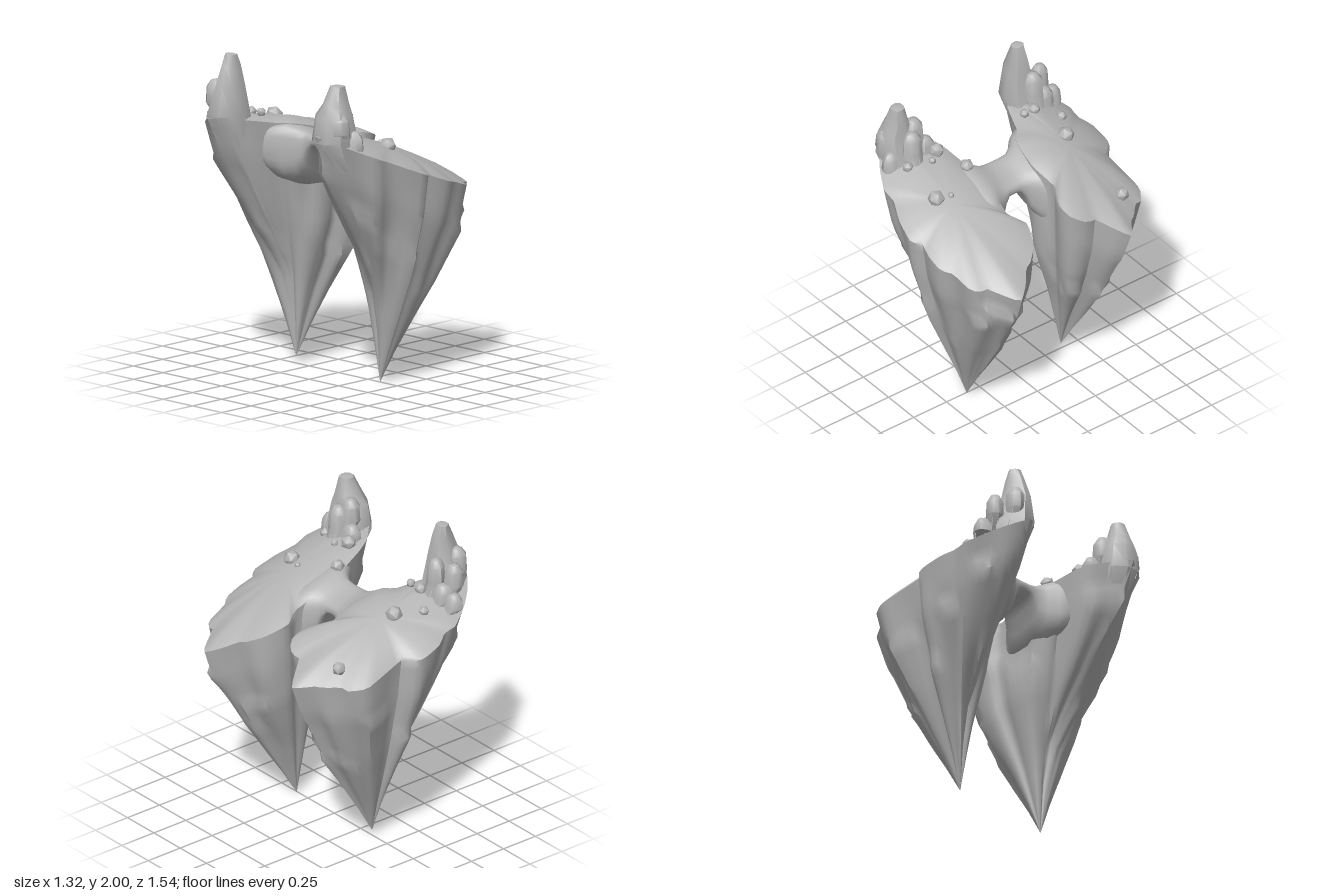
import * as THREE from 'three';
import { toCreasedNormals } from 'three/addons/utils/BufferGeometryUtils.js';

const stone = new THREE.MeshStandardMaterial({ color: 0xb4b4b4 });
stone.name = 'grey stone';

function seeded(seed) {
  let s = seed;
  return () => (s = (s * 16807) % 2147483647) / 2147483647;
}

// Skin between rings of equal length, listed from top to bottom
function loft(name, rings, crease) {
  const n = rings[0].length, pos = [], index = [];
  rings.forEach(r => r.forEach(p => pos.push(...p)));
  for (let j = 0; j < rings.length - 1; j++) {
    for (let i = 0; i < n; i++) {
      const a = j * n + i, b = j * n + (i + 1) % n, c = a + n, d = b + n;
      if (j > 0) index.push(a, b, c);
      if (j === 0 || j < rings.length - 2) index.push(b, d, c);
    }
  }
  const geo = new THREE.BufferGeometry();
  geo.setAttribute('position', new THREE.Float32BufferAttribute(pos, 3));
  geo.setIndex(index);
  const mesh = new THREE.Mesh(toCreasedNormals(geo, crease), stone);
  mesh.name = name;
  return mesh;
}

// Domed top of an island, sloping to its right end and outer side; r is 0 at the centre, 1 at the rim
const topY = (o, x, z, r) => o.height - o.slope * x
  - o.tilt * (Math.abs(z) - Math.abs(o.zc)) + o.dome * (1 - r ** 2.5);

// Taper of the body from rim (t = 0) to tip (t = 1), by the side it faces
const TAPER = {
  left: [[0, 1], [0.15, 0.86], [0.29, 0.66], [0.4, 0.49], [0.535, 0.26], [0.65, 0.11], [0.8, 0.04], [1, 0]],
  outer: [[0, 1], [0.19, 0.91], [0.36, 0.74], [0.5, 0.6], [0.7, 0.36], [0.85, 0.17], [1, 0]],
  inner: [[0, 1], [0.15, 0.98], [0.3, 0.95], [0.4, 0.91], [0.56, 0.66], [0.7, 0.41], [0.85, 0.2], [1, 0]],
};
function taper(side, t) {
  const p = TAPER[side], i = Math.max(1, p.findIndex(q => q[0] >= t));
  return THREE.MathUtils.mapLinear(t, p[i - 1][0], p[i][0], p[i - 1][1], p[i][1]);
}

// Island: domed top, then a ridged body narrowing to a point
function island(o) {
  const rand = seeded(o.seed), N = 72, LEVELS = 20;
  const curve = new THREE.CatmullRomCurve3(
    o.outline.map(([x, z]) => new THREE.Vector3(x, 0, z)), true, 'catmullrom', 0.2);
  const rim = curve.getSpacedPoints(N).slice(0, N);
  const rings = [0, 0.3, 0.6, 0.82, 0.94, 1].map(r => rim.map(p => {
    const x = p.x * r, z = o.zc + (p.z - o.zc) * r;
    return [x, topY(o, x, z, r), z];
  }));
  // broken slabs: abrupt upper ledge, fading out downwards
  const slabs = Array.from({ length: 14 }, (_, i) => ({
    u: Math.floor((i + rand() * 0.6) * N / 14), w: 3 + Math.floor(rand() * 4),
    t: 0.1 + rand() * 0.45, h: 0.25 + rand() * 0.25, amp: 0.05 + rand() * 0.05,
  }));
  for (let j = 1; j <= LEVELS; j++) {
    const t = j / LEVELS;
    rings.push(rim.map((p, i) => {
      const dx = p.x - o.tip[0], dz = p.z - o.tip[2], len = Math.hypot(dx, dz);
      const left = Math.max(0, -dx / len) ** 2;
      const inner = Math.max(0, -dz * Math.sign(o.zc) / len) * (1 - left);
      let k = left * taper('left', t) + inner * taper('inner', t) + (1 - left - inner) * taper('outer', t);
      let bump = 0.035 * Math.sin(i * 0.87 + 2 * t + o.seed) + 0.03 * Math.sin(i * 0.52 - 3 * t) - 0.015;
      bump *= Math.min(1, t * 4);
      for (const s of slabs) {
        const f = (t - s.t) / s.h;
        if ((i - s.u + N) % N < s.w && f >= 0 && f < 1) bump += s.amp * (1 - f);
      }
      k *= 1 + bump;
      const y0 = topY(o, p.x, p.z, 1);
      return [o.tip[0] + dx * k, y0 + (o.tip[1] - y0) * t, o.tip[2] + dz * k];
    }));
  }
  return loft('islandRock', rings, 0.85);
}

// Upright crag from stations [y, x, z, halfX, halfZ], top to bottom
function crag(name, stations, seed) {
  const rand = seeded(seed), N = 9;
  const jitter = Array.from({ length: N }, () => 0.9 + rand() * 0.2);
  const ring = ([y, x, z, rx, rz]) => jitter.map((q, i) => {
    const a = i / N * Math.PI * 2;
    return [x + rx * q * Math.cos(a), y, z + rz * q * Math.sin(a)];
  });
  const [y, x, z] = stations[0];
  return loft(name, [[y + 0.01, x, z, 0, 0], ...stations].map(ring), 0.8);
}

// Small lump: a blunt crag whose foot bends inward into the rock
const lump = (x, z, y0, y1, r, seed) => crag('sideCrag', [
  [y1, x, z, r * 0.5, r * 0.5], [y1 - 0.04, x, z, r * 0.9, r * 0.9],
  [y0 + (y1 - y0) * 0.6, x, z, r, r],
  [y0, x + 0.1, (z + Math.sign(z) * 0.45) / 2, r * 0.4, r * 0.4]], seed);

function pebbles(o, list) {
  const group = new THREE.Group();
  group.name = 'pebbles';
  for (const [x, z, r] of list) {
    const m = new THREE.Mesh(toCreasedNormals(new THREE.IcosahedronGeometry(r, 0), 0.75), stone);
    m.name = 'pebble';
    const d = Math.min(1, Math.hypot(x / 0.65, (z - o.zc) / 0.32));
    m.position.set(x, topY(o, x, z, d) + r * 0.1, z);
    m.rotation.set(x * 9, z * 7, 0.4);
    group.add(m);
  }
  return group;
}

// Bridge from stations [z, x0, x1, top, bottom]; it spreads out into both islands
function bridge() {
  const half = [
    [0, -0.2, 0.03, 1.47, 1.39], [0.04, -0.2, 0.03, 1.47, 1.385], [0.075, -0.205, 0.045, 1.478, 1.34],
    [0.105, -0.215, 0.06, 1.488, 1.25], [0.15, -0.245, 0.1, 1.505, 1.18],
    [0.2, -0.3, 0.16, 1.515, 1.14], [0.27, -0.35, 0.18, 1.5, 1.15], [0.34, -0.35, 0.18, 1.45, 1.2]];
  const stations = [...half.slice(1).reverse().map(([z, ...r]) => [-z, ...r]), ...half];
  const N = 28, soft = v => Math.sign(v) * Math.pow(Math.abs(v), 0.6);
  const rings = stations.map(([z, x0, x1, top, bottom]) => Array.from({ length: N }, (_, i) => {
    const a = i / N * Math.PI * 2;
    const off = -soft(Math.cos(a)) * (x1 - x0) / 2;
    const y = (top + bottom) / 2 - soft(Math.sin(a)) * (top - bottom) / 2;
    return [(x0 + x1) / 2 + off, y - 0.32 * off, z];
  }));
  const cap = r => r.map(() => [-0.1, 1.3, r[0][2]]);
  return loft('bridge', [cap(rings[0]), ...rings, cap(rings[rings.length - 1])], 1.1);
}

export function createModel() {
  const model = new THREE.Group();
  model.name = 'twinFloatingIslands';

  const front = {
    seed: 53, zc: 0.44, tip: [0.005, 0, 0.35], height: 1.4, slope: 0.38, tilt: 0.16, dome: 0.08,
    outline: [[-0.66, 0.46], [-0.56, 0.35], [-0.47, 0.26], [-0.38, 0.22], [-0.3, 0.2], [-0.1, 0.15],
      [0.1, 0.16], [0.17, 0.165], [0.28, 0.1], [0.42, 0.16], [0.5, 0.25], [0.51, 0.29], [0.58, 0.34],
      [0.66, 0.44], [0.54, 0.53], [0.48, 0.57], [0.48, 0.62], [0.42, 0.66], [0.3, 0.68], [0.24, 0.73],
      [0.13, 0.735], [0.04, 0.72], [0, 0.77], [-0.15, 0.745], [-0.27, 0.695], [-0.36, 0.7],
      [-0.48, 0.64], [-0.56, 0.58]],
  };
  const back = {
    seed: 87, zc: -0.43, tip: [0.005, 0.04, -0.365], height: 1.43, slope: 0.28, tilt: 0.25, dome: 0.09,
    outline: [[-0.66, -0.46], [-0.58, -0.56], [-0.5, -0.63], [-0.36, -0.715], [-0.28, -0.71],
      [-0.2, -0.76], [-0.07, -0.775], [0, -0.745], [0.04, -0.69], [0.15, -0.7], [0.33, -0.715],
      [0.43, -0.65], [0.44, -0.6], [0.53, -0.52], [0.53, -0.5], [0.66, -0.4], [0.57, -0.32],
      [0.48, -0.25], [0.5, -0.2], [0.44, -0.12], [0.35, -0.1], [0.25, -0.14], [0.18, -0.18],
      [0, -0.15], [-0.2, -0.18], [-0.28, -0.25], [-0.45, -0.31], [-0.52, -0.36], [-0.6, -0.37]],
  };

  const frontIsland = new THREE.Group();
  frontIsland.name = 'frontIsland';
  frontIsland.add(
    island(front),
    crag('horn', [[1.94, -0.5, 0.49, 0.045, 0.045], [1.83, -0.51, 0.485, 0.085, 0.075],
      [1.76, -0.52, 0.48, 0.105, 0.12], [1.6, -0.51, 0.475, 0.14, 0.14], [1.35, -0.4, 0.47, 0.1, 0.1]], 12),
    lump(-0.46, 0.4, 1.5, 1.83, 0.065, 5), lump(-0.41, 0.45, 1.45, 1.78, 0.07, 9),
    lump(-0.42, 0.34, 1.45, 1.69, 0.06, 14), lump(-0.54, 0.54, 1.48, 1.78, 0.07, 21),
    lump(-0.45, 0.58, 1.4, 1.66, 0.06, 33),
    pebbles(front, [[-0.19, 0.2, 0.045], [-0.31, 0.37, 0.025], [-0.06, 0.42, 0.02],
      [-0.09, 0.51, 0.055], [-0.36, 0.52, 0.035], [-0.36, 0.3, 0.05]]));

  const backIsland = new THREE.Group();
  backIsland.name = 'backIsland';
  backIsland.add(
    island(back),
    crag('horn', [[1.99, -0.5, -0.42, 0.035, 0.04], [1.92, -0.5, -0.42, 0.065, 0.05],
      [1.8, -0.51, -0.42, 0.1, 0.075], [1.62, -0.51, -0.44, 0.135, 0.13], [1.35, -0.4, -0.45, 0.1, 0.1]], 44),
    lump(-0.47, -0.57, 1.45, 1.78, 0.06, 6), lump(-0.56, -0.48, 1.48, 1.83, 0.065, 17),
    lump(-0.41, -0.47, 1.45, 1.8, 0.065, 23), lump(-0.42, -0.63, 1.4, 1.62, 0.06, 28),
    lump(-0.4, -0.55, 1.42, 1.66, 0.065, 37),
    pebbles(back, [[-0.24, -0.56, 0.035], [-0.08, -0.47, 0.055], [0.4, -0.53, 0.045],
      [-0.33, -0.42, 0.04], [-0.32, -0.34, 0.03]]));

  model.add(frontIsland, backIsland, bridge());
  return model;
}
